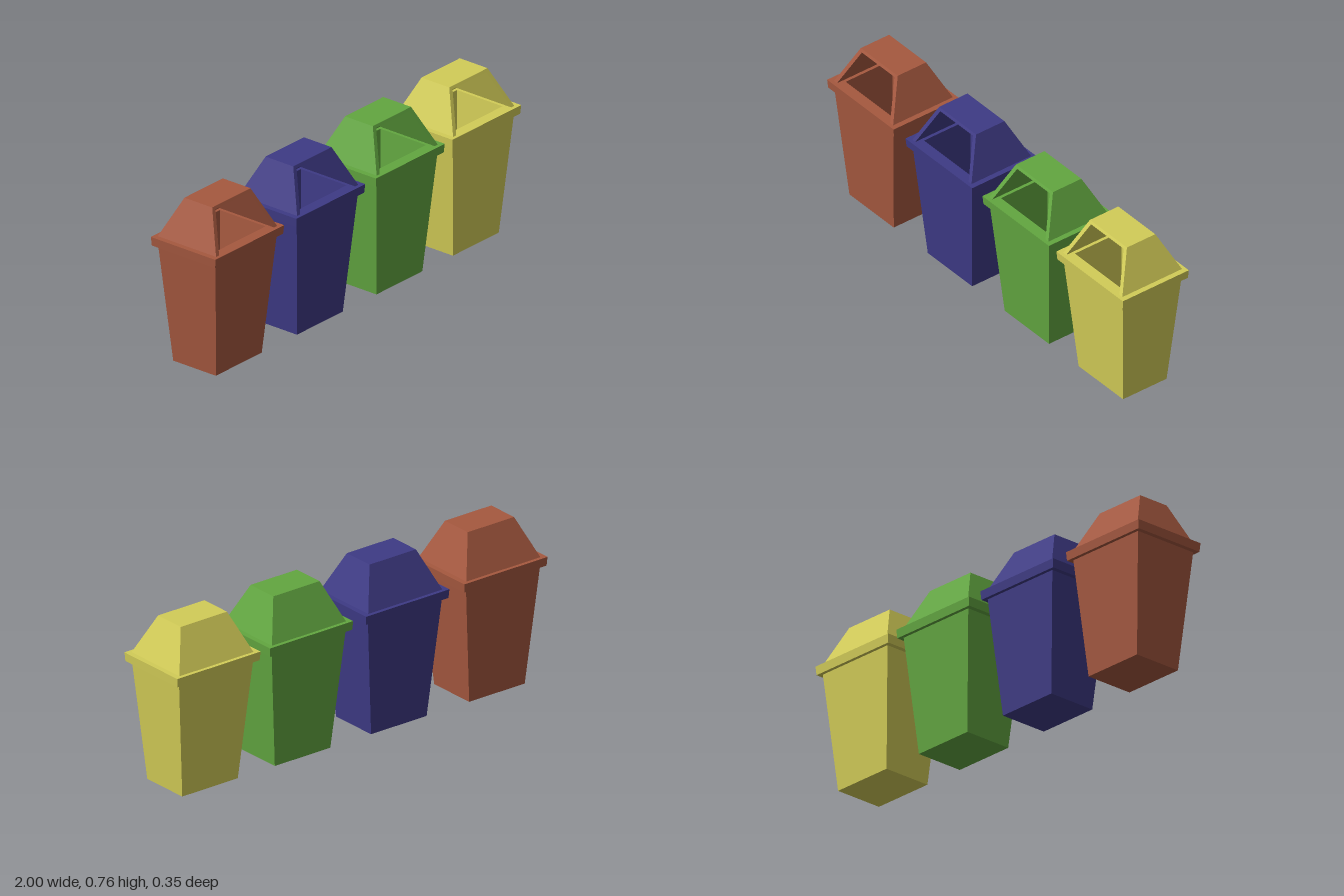
import * as THREE from 'three';

// Mesh from planar quads, each listed counter-clockwise from its visible side
function quadMesh(name, quads, material) {
  const positions = [];
  for (const [a, b, c, d] of quads) positions.push(...a, ...b, ...c, ...a, ...c, ...d);
  const geometry = new THREE.BufferGeometry();
  geometry.setAttribute('position', new THREE.Float32BufferAttribute(positions, 3));
  geometry.computeVertexNormals();
  const mesh = new THREE.Mesh(geometry, material);
  mesh.name = name;
  return mesh;
}

// Rectangle corners: front left, front right, back right, back left
const rect = (hx, hz, y, front = hz) => [[-hx, y, front], [hx, y, front], [hx, y, -hz], [-hx, y, -hz]];

// Side quads joining two stacked rectangles
const band = (lo, hi) => lo.map((p, i) => [p, lo[(i + 1) % 4], hi[(i + 1) % 4], hi[i]]);

// Tapered hollow container with a projecting rim, as one closed profile
function makeBody(material) {
  const profile = [
    [0.15, 0.117, 0], [0.2, 0.158, 0.543],
    [0.222, 0.174, 0.543], [0.225, 0.177, 0.583],
    [0.165, 0.125, 0.583], [0.13, 0.097, 0.02],
  ].map((p) => rect(...p));
  const quads = [[...profile[0]].reverse(), profile[profile.length - 1]];
  for (let i = 0; i + 1 < profile.length; i++) quads.push(...band(profile[i], profile[i + 1]));
  return quadMesh('binBody', quads, material);
}

// Thick-walled hood whose sloping front is open
function makeHood(material) {
  const lo = rect(0.2, 0.16, 0.583), hi = rect(0.125, 0.076, 0.76);
  const inLo = rect(0.18, 0.14, 0.583, 0.16), inHi = rect(0.11, 0.062, 0.748, 0.0817);
  const outer = [...band(lo, hi).slice(1), hi];
  const inner = [...band(inLo, inHi).slice(1), inHi].map((q) => [...q].reverse());
  const frontEdges = [
    [lo[0], inLo[0], inHi[0], hi[0]],
    [hi[0], inHi[0], inHi[1], hi[1]],
    [inLo[1], lo[1], hi[1], inHi[1]],
  ];
  return quadMesh('binHood', [...outer, ...inner, ...frontEdges], material);
}

export function createModel() {
  const model = new THREE.Group();
  model.name = 'recyclingBins';
  const bins = [
    ['redBin', -0.775, 0xa5583f],
    ['blueBin', -0.245, 0x3e3a85],
    ['greenBin', 0.275, 0x62a640],
    ['yellowBin', 0.775, 0xd2cc57],
  ];
  for (const [name, x, color] of bins) {
    const material = new THREE.MeshStandardMaterial({ color, flatShading: true, side: THREE.DoubleSide });
    const bin = new THREE.Group();
    bin.name = name;
    bin.position.x = x;
    bin.add(makeBody(material), makeHood(material));
    model.add(bin);
  }
  return model;
}
